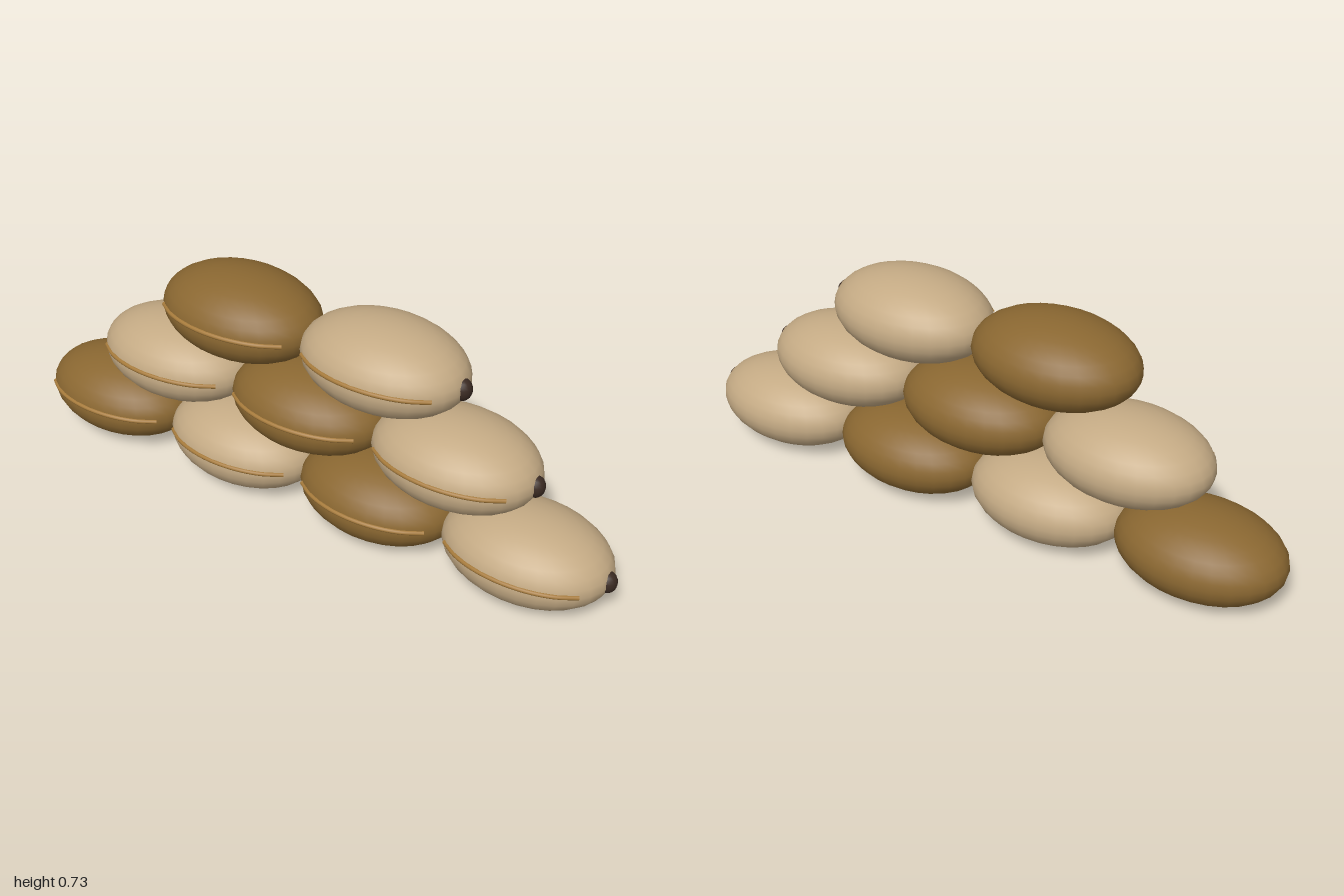
import * as THREE from 'three';

const mat = (name, color) => {
  const m = new THREE.MeshStandardMaterial({ color });
  m.name = name;
  return m;
};

export function createModel() {
  const model = new THREE.Group();
  model.name = 'sackStack';

  const brown = mat('brown burlap', 0x8a6731);
  const tan = mat('tan burlap', 0xc4aa84);
  const thread = mat('seam thread', 0xa87c3c);
  const dark = mat('dark tie', 0x3a2a22);

  // Radii of one plump sack
  const RX = 0.26, RY = 0.13, RZ = 0.187;
  const bodyGeo = new THREE.SphereGeometry(1, 28, 16).scale(RX, RY, RZ);
  const tieGeo = new THREE.SphereGeometry(1, 14, 10).scale(0.028, 0.034, 0.029);

  // Stitched seam hugging the front, rising slightly toward the middle
  const seamPoints = [];
  for (let i = 0; i <= 8; i++) {
    const x = -0.21 + (0.42 * i) / 8;
    const bulge = Math.sqrt(1 - (x / RX) ** 2);
    seamPoints.push(new THREE.Vector3(x, 0.006 + 0.029 * (bulge - 0.59), 0.183 * bulge));
  }
  const seamGeo = new THREE.TubeGeometry(new THREE.CatmullRomCurve3(seamPoints), 28, 0.007, 8);

  const makeSack = (cloth) => {
    const sack = new THREE.Group();
    sack.name = 'sack';
    const add = (name, geo, material) => {
      const mesh = new THREE.Mesh(geo, material);
      mesh.name = name;
      sack.add(mesh);
      return mesh;
    };
    add('sackBody', bodyGeo, cloth);
    add('seam', seamGeo, thread);
    add('tie', tieGeo, dark).position.x = 0.248;
    return sack;
  };

  // Three staggered rows of 4, 3 and 2 sacks
  const step = 0.488;
  for (let row = 0; row < 3; row++) {
    for (let i = 0; i < 4 - row; i++) {
      const sack = makeSack((row + i) % 2 ? tan : brown);
      sack.position.set(-0.74 + (i + row / 2) * step, 0.132 + row * 0.234, 0);
      model.add(sack);
    }
  }
  return model;
}
